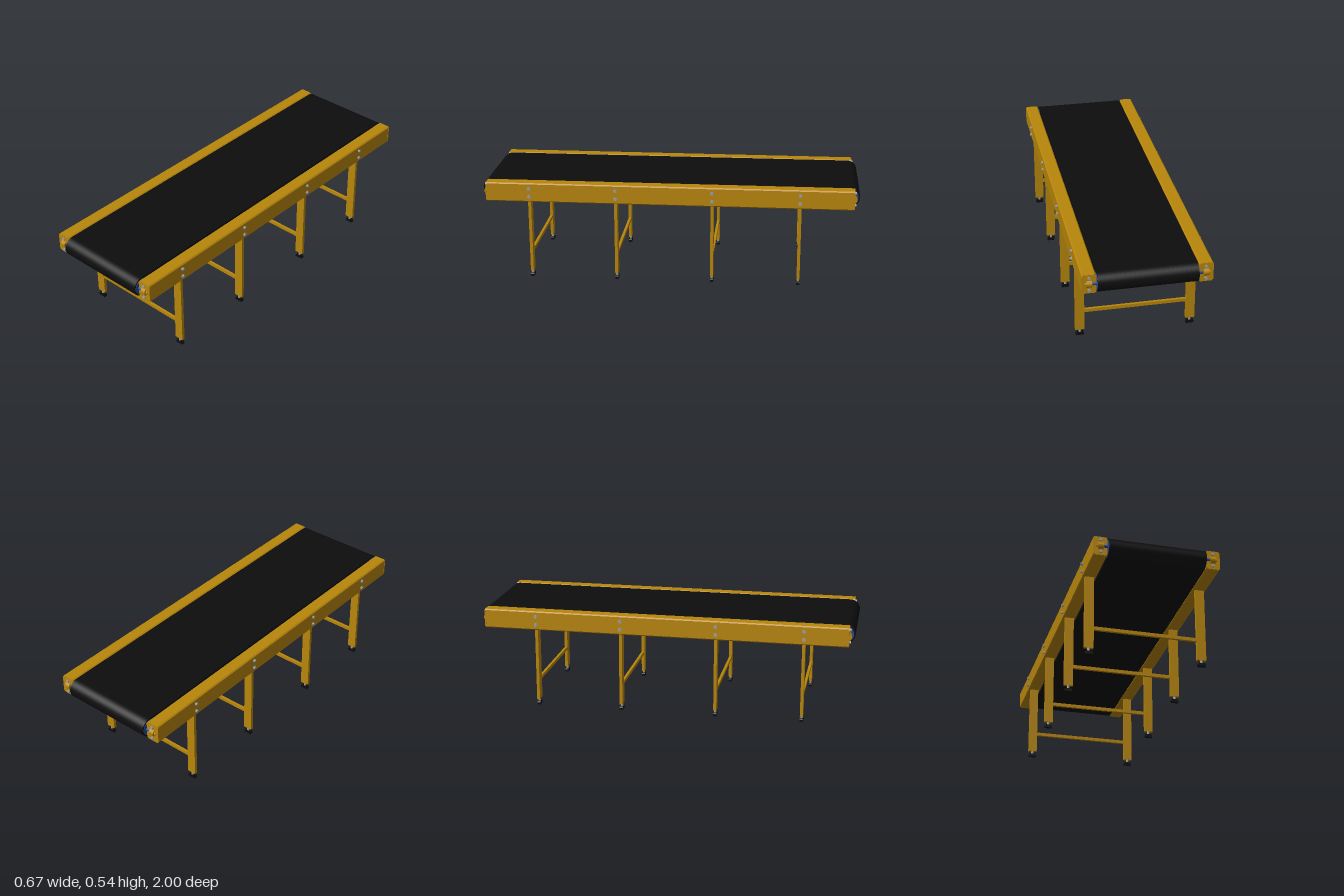
import * as THREE from 'three';

const mat = (name, color) => {
  const m = new THREE.MeshStandardMaterial({ color });
  m.name = name;
  return m;
};

export function createModel() {
  const yellow = mat('yellow paint', 0xb8860b);
  const black = mat('black rubber', 0x0d0d0d);
  const blue = mat('blue steel', 0x22479a);
  const grey = mat('zinc', 0x9aa0a4);

  const model = new THREE.Group();
  model.name = 'beltConveyor';
  const frame = new THREE.Group();
  frame.name = 'conveyor';
  model.add(frame);

  const add = (name, geo, material, x, y, z) => {
    const mesh = new THREE.Mesh(geo, material);
    mesh.name = name;
    mesh.position.set(x, y, z);
    frame.add(mesh);
    return mesh;
  };
  const box = (w, h, d) => new THREE.BoxGeometry(w, h, d);
  const cylX = (r, len, n = 24) => new THREE.CylinderGeometry(r, r, len, n).rotateZ(Math.PI / 2);
  const cylZ = (r, len, n = 24) => new THREE.CylinderGeometry(r, r, len, n).rotateX(Math.PI / 2);
  // Prism along z, centred, with a polygonal section
  const prism = (pts, depth) => new THREE.ExtrudeGeometry(
    new THREE.Shape(pts.map(p => new THREE.Vector2(p[0], p[1]))),
    { depth, bevelEnabled: false }).translate(0, 0, -depth / 2);
  const chamfered = (w, h, c) => [
    [-w + c, -h], [w - c, -h], [w, -h + c], [w, h - c],
    [w - c, h], [-w + c, h], [-w, h - c], [-w, -h + c]];

  const axisY = 0.479, rollerZ = 0.948, rollerR = 0.052;

  // Belt: a closed loop around two end rollers
  const loop = new THREE.Shape();
  loop.absarc(rollerZ, 0, rollerR, -Math.PI / 2, Math.PI / 2, false);
  loop.absarc(-rollerZ, 0, rollerR, Math.PI / 2, Math.PI * 1.5, false);
  loop.closePath();
  const beltGeo = new THREE.ExtrudeGeometry(loop, { depth: 0.496, bevelEnabled: false, curveSegments: 16 })
    .translate(0, 0, -0.248).rotateY(-Math.PI / 2);
  add('belt', beltGeo, black, 0, axisY, 0);

  const railGeo = prism(chamfered(0.035, 0.0515, 0.006), 1.936);
  const plateGeo = prism(chamfered(0.0365, 0.051, 0.008), 0.006);
  const footGeo = prism([[-0.02, 0], [0.02, 0], [0.02, 0.012], [0.014, 0.017], [-0.014, 0.017], [-0.02, 0.012]], 0.018);
  const legZ = [0.74, 0.28, -0.23, -0.69];

  for (const s of [-1, 1]) {
    // Side rails with bearing hardware at both ends
    add('sideRail', railGeo, yellow, s * 0.288, axisY, 0);
    for (const e of [-1, 1]) {
      add('railEndPlate', plateGeo, yellow, s * 0.288, axisY, e * 0.969);
      add('rollerEnd', cylX(0.044, 0.003, 32), blue, s * 0.2485, axisY, e * rollerZ);
      add('rollerShaft', cylX(0.009, 0.04), blue, s * 0.262, axisY, e * 0.968);
      add('bearing', cylX(0.02, 0.027), yellow, s * 0.287, axisY, e * 0.965);
      add('bearingCap', cylX(0.009, 0.01), yellow, s * 0.3035, axisY, e * 0.968);
      for (const dy of [-0.033, 0.033])
        add('endBolt', cylZ(0.0085, 0.008, 6), grey, s * 0.287, axisY + dy, e * 0.976);
    }

    // Legs with levelling feet and rail bolts
    for (const z of legZ) {
      add('leg', box(0.048, 0.4, 0.016), yellow, s * 0.289, 0.233, z);
      add('footStem', new THREE.CylinderGeometry(0.007, 0.007, 0.025, 12), grey, s * 0.289, 0.026, z);
      add('foot', footGeo, black, s * 0.289, 0, z);
      for (const dy of [-0.022, 0.022]) {
        add('railBoltWasher', cylX(0.01, 0.003, 16), grey, s * 0.3245, axisY + dy, z);
        add('railBolt', cylX(0.0075, 0.01, 6), grey, s * 0.328, axisY + dy, z);
      }
    }
  }

  // Cross bars joining each pair of legs
  for (const z of legZ) add('crossBar', box(0.532, 0.018, 0.014), yellow, 0, 0.144, z);

  // Slight lean of the whole frame
  frame.rotation.set(0.0025, 0.003, 0);
  frame.position.y = 0.0015;
  return model;
}
